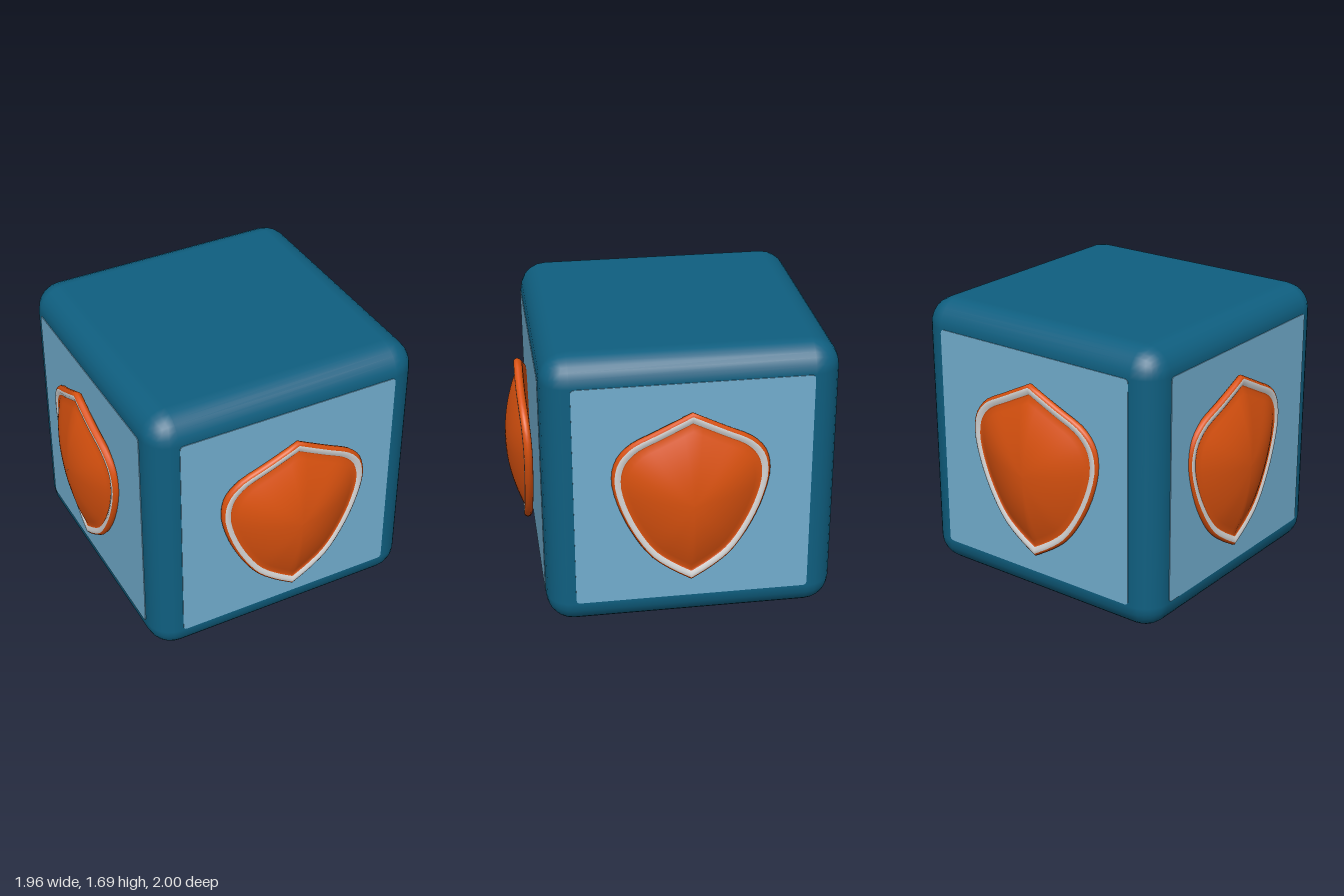
import * as THREE from 'three';
import { RoundedBoxGeometry } from 'three/addons/geometries/RoundedBoxGeometry.js';

const mat = (name, color) => {
  const m = new THREE.MeshStandardMaterial({ color });
  m.name = name;
  return m;
};

// Closed shield outline, counterclockwise, centred on its own middle
function shieldOutline() {
  const half = [[0, -0.54], [0.12, -0.465], [0.23, -0.375], [0.33, -0.23], [0.412, -0.05],
    [0.452, 0.13], [0.428, 0.26], [0.35, 0.355], [0.2, 0.437], [0, 0.54]];
  const curve = new THREE.CatmullRomCurve3(half.map(([x, y]) => new THREE.Vector3(x, y, 0)));
  const right = curve.getPoints(28);
  const left = right.slice(1, -1).reverse().map(p => new THREE.Vector3(-p.x, p.y, 0));
  return [...right, ...left];
}

// Domed shield lofted from scaled outlines; groups: 0 orange, 1 stripe
function shieldGeometry() {
  const outline = shieldOutline(), n = outline.length;
  // [scale, height, material of the band that follows]
  const rings = [[0.002, -0.028, 0], [0.9, -0.03, 0], [0.96, -0.026, 0], [0.99, -0.013, 0], [1, 0.002, 0],
    [0.988, 0.016, 0], [0.965, 0.023, 1], [0.93, 0.024, 1], [0.888, 0.016, 0]];
  for (let k = 0; k <= 12; k++) {
    const s = 0.87 * (1 - k / 12);
    rings.push([Math.max(s, 0.002), 0.01 + 0.095 * (1 - (s / 0.87) ** 2), 0]);
  }
  const pos = [], idx = [], geo = new THREE.BufferGeometry();
  for (const [s, h] of rings) {
    for (const p of outline) {
      const x = p.x * s, y = p.y * s;
      pos.push(x, y, h - 0.15 * x * x + 0.02 * y); // wraps gently round the vertical
    }
  }
  for (let r = 0; r < rings.length - 1; r++) {
    geo.addGroup(idx.length, n * 6, rings[r][2]);
    for (let i = 0; i < n; i++) {
      const j = (i + 1) % n, a = r * n, b = a + n;
      idx.push(a + i, a + j, b + j, a + i, b + j, b + i);
    }
  }
  geo.setAttribute('position', new THREE.Float32BufferAttribute(pos, 3));
  geo.setIndex(idx);
  geo.computeVertexNormals();
  return geo;
}

// Thin square plate with slightly rounded corners
function panelGeometry(h, r) {
  const s = new THREE.Shape();
  s.moveTo(-h + r, -h);
  s.lineTo(h - r, -h).quadraticCurveTo(h, -h, h, -h + r);
  s.lineTo(h, h - r).quadraticCurveTo(h, h, h - r, h);
  s.lineTo(-h + r, h).quadraticCurveTo(-h, h, -h, h - r);
  s.lineTo(-h, -h + r).quadraticCurveTo(-h, -h, -h + r, -h);
  return new THREE.ExtrudeGeometry(s, { depth: 0.004, bevelEnabled: false, curveSegments: 4 });
}

export function createModel() {
  const model = new THREE.Group();
  model.name = 'shieldCube';
  const blue = mat('deepBlue', 0x0f5f80);
  const pale = mat('paleBlue', 0x72aecf);
  const orange = mat('orange', 0xdb520f);
  const silver = mat('silver', 0xd6d6d6);

  const size = 1.69, cx = -0.004, cy = size / 2, cz = -0.014;
  const body = new THREE.Mesh(new RoundedBoxGeometry(size, size, size, 3, 0.16), blue);
  body.name = 'cubeBody';
  body.position.set(cx, cy, cz);
  model.add(body);

  // Four sides: turn, shield position (x, z) and its slight yaw
  const sides = [
    { name: 'front', turn: 0, x: 0.006, z: 0.893, yaw: -0.045 },
    { name: 'left', turn: Math.PI / 2, x: 0.873, z: 0, yaw: 0 },
    { name: 'back', turn: Math.PI, x: -0.035, z: -0.893, yaw: 0.015 },
    { name: 'right', turn: -Math.PI / 2, x: -0.88, z: -0.08, yaw: -0.02 },
  ];
  const panelGeo = panelGeometry(0.68, 0.025), shieldGeo = shieldGeometry();
  for (const { name, turn, x, z, yaw } of sides) {
    const panel = new THREE.Mesh(panelGeo, pale);
    panel.name = name + 'Panel';
    panel.rotation.y = turn;
    panel.position.set(cx + Math.sin(turn) * size / 2, cy + 0.003, cz + Math.cos(turn) * size / 2);
    model.add(panel);

    const shield = new THREE.Mesh(shieldGeo, [orange, silver]);
    shield.name = name + 'Shield';
    shield.rotation.y = turn + yaw;
    shield.position.set(x, 0.83, z);
    model.add(shield);
  }
  return model;
}
